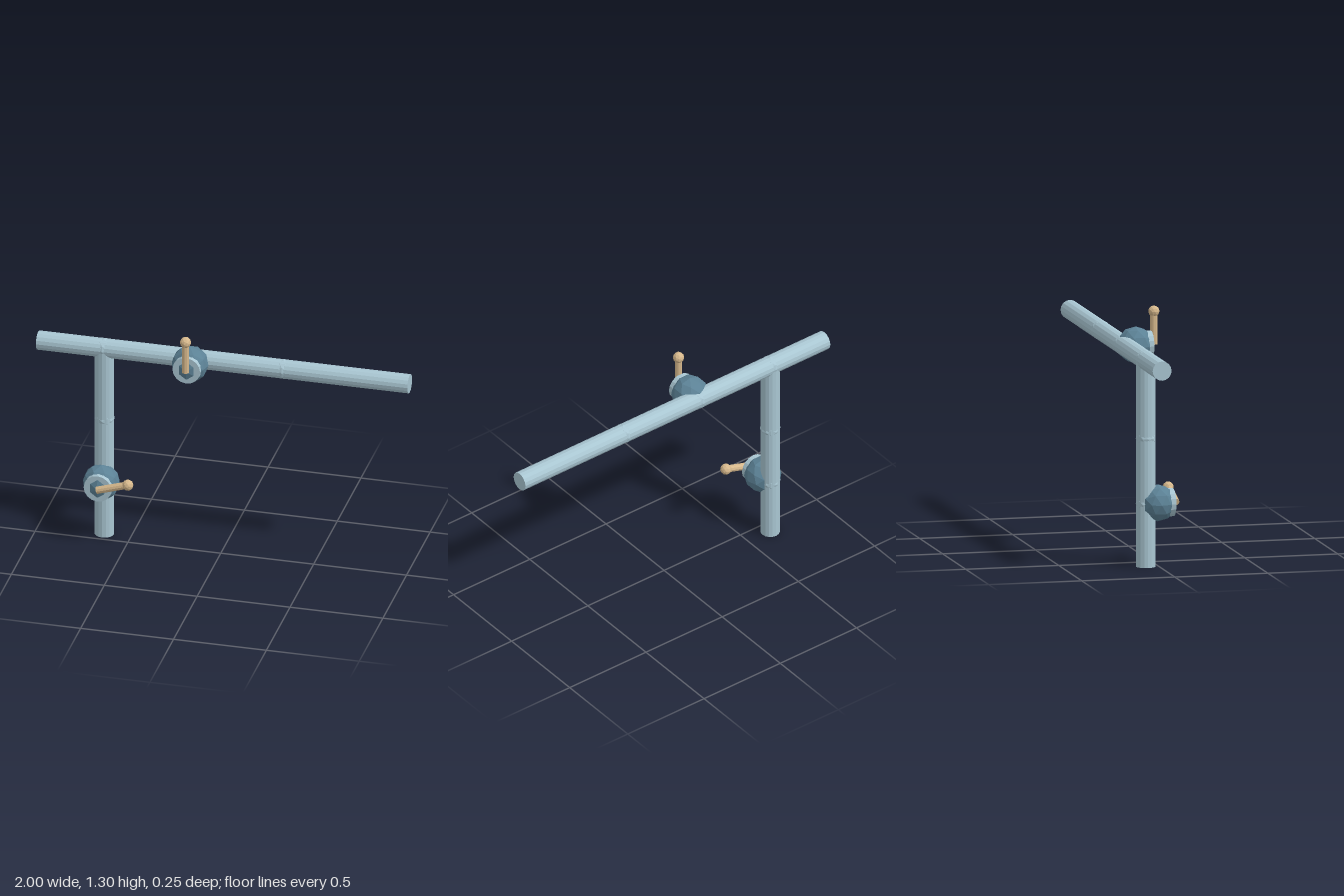
import * as THREE from 'three';

const mat = (name, color, flatShading = true) => {
  const m = new THREE.MeshStandardMaterial({ color, flatShading });
  m.name = name;
  return m;
};

export function createModel() {
  const steel = mat('paleSteelBlue', 0xa9c6d2);
  const valveBlue = mat('valveBlue', 0x5c8296);
  const tan = mat('handleTan', 0xd6b88c);

  const PIPE_R = 0.051, PIPE_Z = -0.068, TOP_Y = 1.092, DROP_X = -0.644;
  const model = new THREE.Group();
  model.name = 'pipeAssembly';

  const add = (parent, name, geometry, material, x = 0, y = 0, z = 0) => {
    const mesh = new THREE.Mesh(geometry, material);
    mesh.name = name;
    mesh.position.set(x, y, z);
    parent.add(mesh);
    return mesh;
  };

  // Pipes: a long horizontal run and a drop to the ground
  add(model, 'horizontalPipe', new THREE.CylinderGeometry(PIPE_R, PIPE_R, 2, 16).rotateZ(Math.PI / 2),
    steel, 0, TOP_Y, PIPE_Z);
  add(model, 'verticalPipe', new THREE.CylinderGeometry(PIPE_R, PIPE_R, TOP_Y, 16),
    steel, DROP_X, TOP_Y / 2, PIPE_Z);

  // Faceted joints that just break through the pipe walls
  const joint = new THREE.IcosahedronGeometry(0.054, 1);
  const joints = [[DROP_X, TOP_Y], [-0.166, TOP_Y], [0.322, TOP_Y], [DROP_X, 0.681], [DROP_X, 0.335]];
  for (const [x, y] of joints) add(model, 'pipeJoint', joint, steel, x, y, PIPE_Z);

  // Valve: faceted body, collar disc, lever with round knob
  const valve = (name, x, y, turn) => {
    const group = new THREE.Group();
    group.name = name;
    group.position.set(x, y, -0.004);
    add(group, 'valveBody', new THREE.IcosahedronGeometry(0.098, 1), valveBlue);
    add(group, 'valveCollar', new THREE.CylinderGeometry(0.0745, 0.0745, 0.03, 16).rotateX(Math.PI / 2),
      steel, 0, 0, 0.068);
    const lever = new THREE.Group();
    lever.name = 'lever';
    lever.position.z = 0.098;
    lever.rotation.z = turn;
    add(lever, 'leverRod', new THREE.CylinderGeometry(0.0195, 0.0195, 0.175, 10), tan, 0, 0.0875, 0);
    add(lever, 'leverKnob', new THREE.IcosahedronGeometry(0.03, 1), tan, 0, 0.175, 0);
    group.add(lever);
    model.add(group);
  };
  valve('upperValve', -0.166, TOP_Y, 0);
  valve('lowerValve', DROP_X, 0.335, -1.27);

  return model;
}
